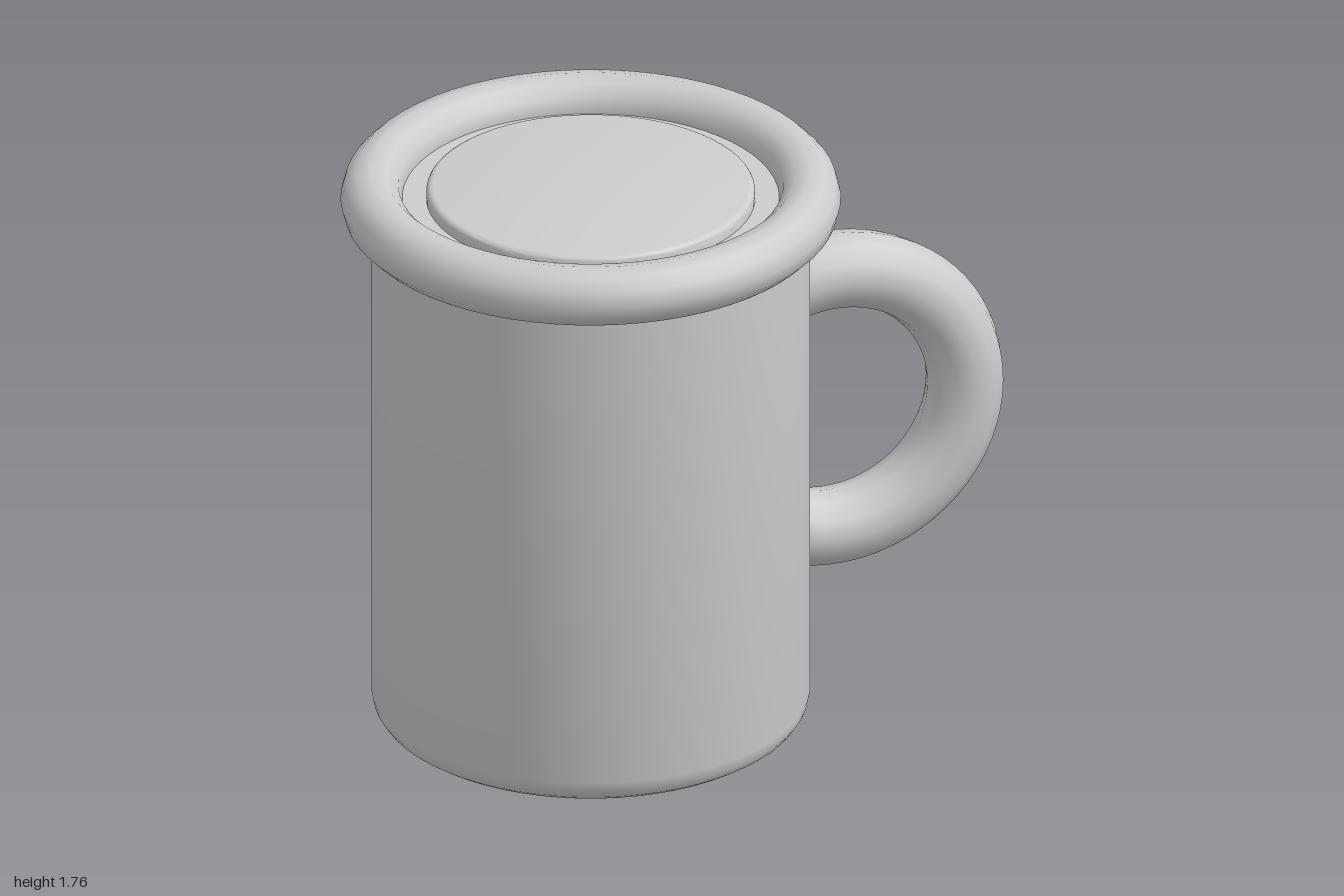
import * as THREE from 'three';
import { toCreasedNormals } from 'three/addons/utils/BufferGeometryUtils.js';

const SIDES = 64;
const BODY_X = -0.27;

// Points of a quarter-round edge around (cx, cy), from angle a0 to a0 + 90 degrees
function roundedEdge(cx, cy, r, a0, steps = 4) {
  const pts = [];
  for (let i = 0; i <= steps; i++) {
    const a = a0 + (i / steps) * Math.PI / 2;
    pts.push([cx + r * Math.cos(a), cy + r * Math.sin(a)]);
  }
  return pts;
}

function lathe(profile) {
  const pts = profile.map(([x, y]) => new THREE.Vector2(x, y));
  return toCreasedNormals(new THREE.LatheGeometry(pts, SIDES), 0.6);
}

export function createModel() {
  const group = new THREE.Group();
  group.name = 'mug';
  const grey = new THREE.MeshStandardMaterial({ color: 0xcccccc });
  grey.name = 'grey';

  const add = (name, geometry, x, y) => {
    const mesh = new THREE.Mesh(geometry, grey);
    mesh.name = name;
    mesh.position.set(x, y, 0);
    group.add(mesh);
    return mesh;
  };

  // Cylindrical body with a rounded foot, closed just inside the rim
  add('body', lathe([
    [0, 0],
    ...roundedEdge(0.56, 0.08, 0.08, -Math.PI / 2),
    [0.64, 1.67],
    [0, 1.67],
  ]), BODY_X, 0);

  // Raised disc filling the opening
  add('innerDisc', lathe([
    [0.48, 1.66],
    ...roundedEdge(0.46, 1.69, 0.02, 0),
    [0, 1.71],
  ]), BODY_X, 0);

  // Thick rolled rim
  const rim = add('rim', new THREE.TorusGeometry(0.64, 0.09, 12, SIDES), BODY_X, 1.67);
  rim.rotation.x = -Math.PI / 2;

  // Ring handle, its ends buried in the body
  const arc = THREE.MathUtils.degToRad(260);
  const handle = add('handle', new THREE.TorusGeometry(0.415, 0.115, 12, 48, arc), 0.47, 0.9);
  handle.rotation.z = -arc / 2;

  return group;
}
